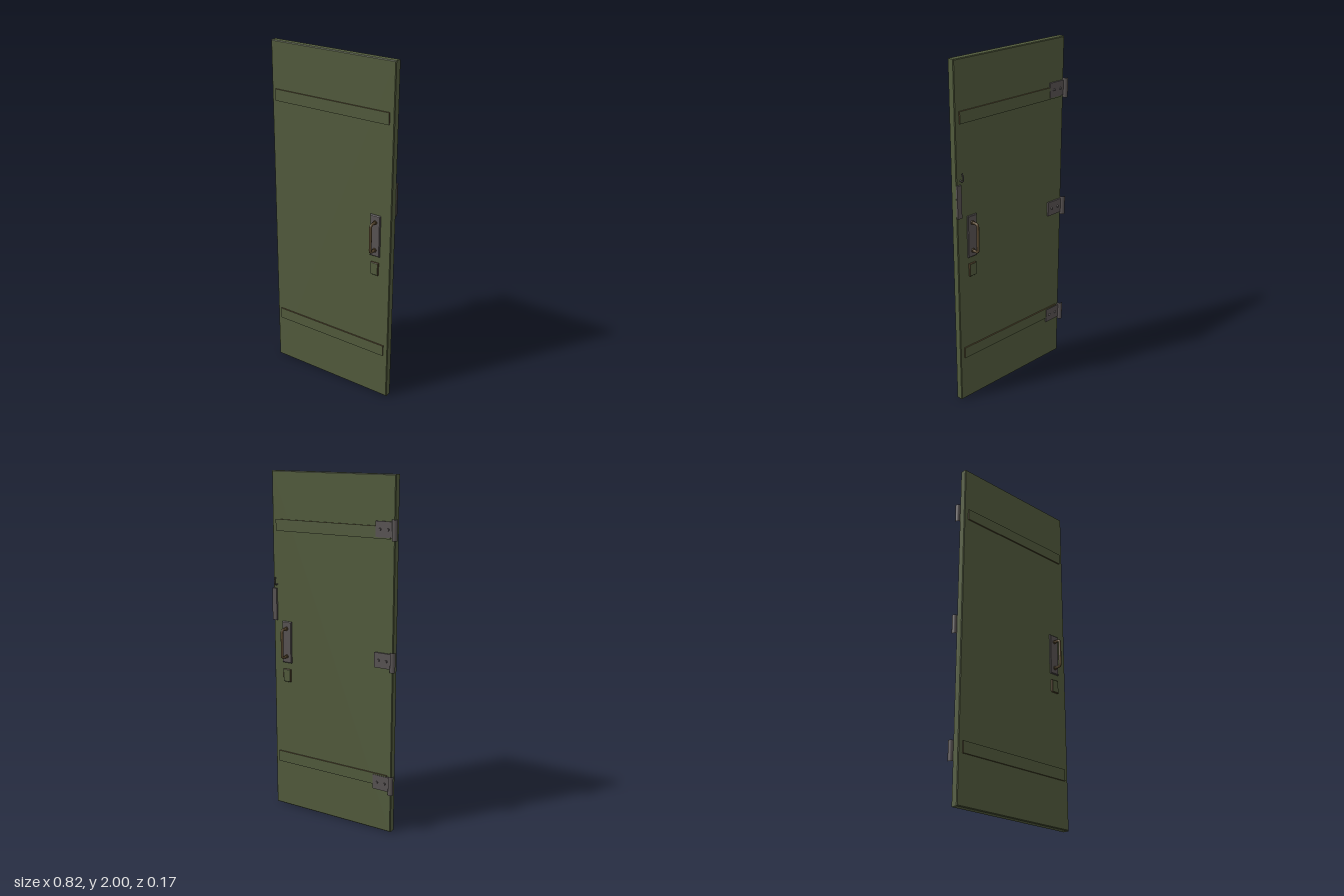
import * as THREE from 'three';

const mat = (name, color) => {
  const m = new THREE.MeshStandardMaterial({ color });
  m.name = name;
  return m;
};

export function createModel() {
  const green = mat('olivePaint', 0x515a3c);
  const steel = mat('darkSteel', 0x575252);
  const brown = mat('agedBrown', 0x55452e);

  const door = new THREE.Group();
  door.name = 'door';
  const body = new THREE.Group();
  body.name = 'doorAssembly';
  body.position.z = -0.002;
  door.add(body);

  const add = (name, geometry, material, x, y, z, parent = body) => {
    const mesh = new THREE.Mesh(geometry, material);
    mesh.name = name;
    mesh.position.set(x, y, z);
    parent.add(mesh);
    return mesh;
  };

  // Rectangular slab with chamfered edges, centred on its origin
  const slab = (w, h, d, bevel = 0) => {
    const a = w / 2 - bevel, b = h / 2 - bevel;
    const shape = new THREE.Shape([[-a, -b], [a, -b], [a, b], [-a, b]].map(p => new THREE.Vector2(...p)));
    const g = new THREE.ExtrudeGeometry(shape, {
      depth: d - 2 * bevel, bevelEnabled: bevel > 0,
      bevelSize: bevel, bevelThickness: bevel, bevelSegments: 1,
    });
    return g.translate(0, 0, -(d - 2 * bevel) / 2);
  };

  const half = 0.0215;
  add('doorPanel', slab(0.797, 2, half * 2, 0.004), green, 0.0055, 1, 0);

  // Fittings shared by both faces
  for (const s of [1, -1]) {
    const side = new THREE.Group();
    side.name = s > 0 ? 'frontFittings' : 'backFittings';
    body.add(side);

    for (const y of [1.698, 0.307]) {
      add('crossBar', slab(0.742, 0.066, 0.008), [green, brown], 0.005, y, s * (half + 0.004), side);
    }
    add('handlePlate', slab(0.064, 0.246, 0.013, 0.004), steel, 0.308, 1.022, s * (half + 0.0055), side);
    add('lockCover', slab(0.048, 0.075, 0.014, 0.002), [green, brown], 0.309, 0.822, s * (half + 0.007), side);

    // D-shaped pull handle with rounded corners
    const z0 = s * 0.028, z1 = s * 0.077, r = 0.016;
    const v = (y, z) => new THREE.Vector3(0, y, z);
    const path = new THREE.CurvePath();
    path.add(new THREE.LineCurve3(v(-0.083, z0), v(-0.083, z1 - s * r)));
    path.add(new THREE.QuadraticBezierCurve3(v(-0.083, z1 - s * r), v(-0.083, z1), v(-0.083 + r, z1)));
    path.add(new THREE.LineCurve3(v(-0.083 + r, z1), v(0.083 - r, z1)));
    path.add(new THREE.QuadraticBezierCurve3(v(0.083 - r, z1), v(0.083, z1), v(0.083, z1 - s * r)));
    path.add(new THREE.LineCurve3(v(0.083, z1 - s * r), v(0.083, z0)));
    add('pullHandle', new THREE.TubeGeometry(path, 48, 0.008, 10), brown, 0.309, 1.02, 0, side);

    // Flanges where the handle meets its plate
    for (const y of [0.937, 1.103]) {
      const flange = add('handleFlange', new THREE.CylinderGeometry(0.012, 0.012, 0.008, 16), brown, 0.309, y, s * 0.036, side);
      flange.rotation.x = Math.PI / 2;
    }
  }

  // Hinges on the back: leaf, open barrel and two rivets
  for (const y of [1.715, 1.003, 0.29]) {
    const hinge = new THREE.Group();
    hinge.name = 'hinge';
    hinge.position.y = y;
    body.add(hinge);
    add('hingeLeaf', slab(0.113, 0.085, 0.01), steel, -0.3365, 0, -half - 0.0055, hinge);
    add('hingeBarrel', new THREE.CylinderGeometry(0.015, 0.015, 0.112, 16, 1, true), steel, -0.397, 0, -0.0325, hinge);
    for (const x of [-0.357, -0.308]) {
      const rivet = add('hingeRivet', new THREE.CylinderGeometry(0.006, 0.008, 0.008, 12), steel, x, 0, -0.034, hinge);
      rivet.rotation.x = -Math.PI / 2;
    }
  }

  // Latch plate on the back edge, with a bent hook above it
  add('latchPlate', slab(0.03, 0.188, 0.01), steel, 0.392, 1.24, -half - 0.005);
  const hook = new THREE.CatmullRomCurve3([
    [1.357, -0.02], [1.356, -0.037], [1.363, -0.045], [1.38, -0.046], [1.398, -0.04],
  ].map(([y, z]) => new THREE.Vector3(0, y, z)));
  add('latchHook', new THREE.TubeGeometry(hook, 24, 0.004, 8), steel, 0.377, 0, 0);
  add('hookTip', new THREE.SphereGeometry(0.004, 10, 8), steel, 0.377, 1.398, -0.04);

  return door;
}
